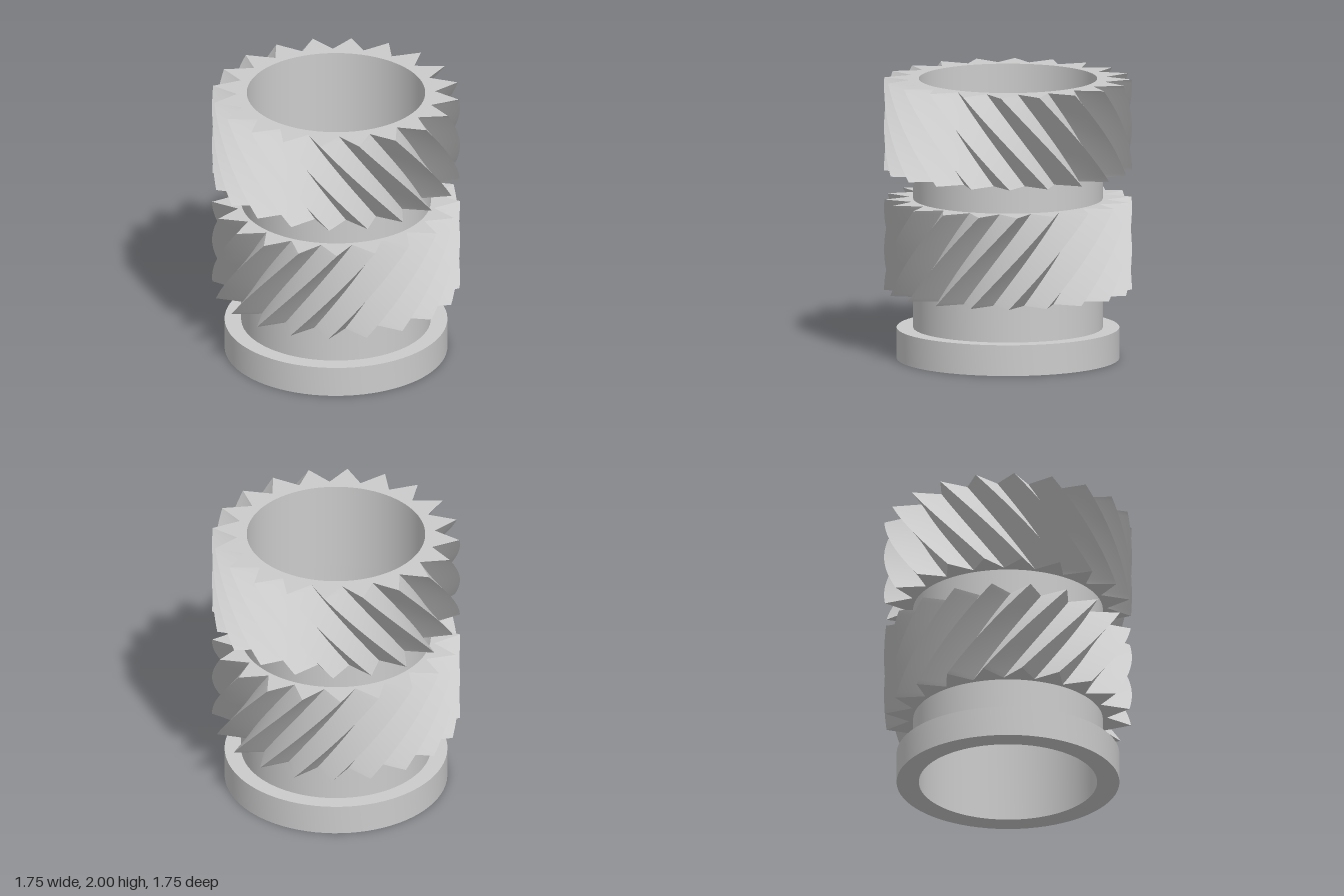
import * as THREE from 'three';
import { toCreasedNormals } from 'three/addons/utils/BufferGeometryUtils.js';

const TEETH = 20, TIP = 0.875, ROOT = 0.7, BORE = 0.63, CORE = 0.67;
const TWIST = THREE.MathUtils.degToRad(40);
const PHASE = THREE.MathUtils.degToRad(5.2);

// Ring of V-shaped teeth, twisted along its height; hand = +1 or -1
function knurl(y0, y1, hole, hand) {
  const shape = new THREE.Shape();
  for (let i = 0; i < TEETH * 2; i++) {
    const a = hand * PHASE + (i * Math.PI) / TEETH;
    const r = i % 2 ? ROOT : TIP;
    shape[i ? 'lineTo' : 'moveTo'](r * Math.sin(a), -r * Math.cos(a));
  }
  shape.closePath();
  const bore = new THREE.Path();
  bore.absarc(0, 0, hole, 0, Math.PI * 2, true);
  shape.holes.push(bore);

  const height = y1 - y0;
  const geo = new THREE.ExtrudeGeometry(shape, {
    depth: height, steps: 24, curveSegments: 80, bevelEnabled: false,
  });
  geo.rotateX(-Math.PI / 2);
  const pos = geo.attributes.position;
  const v = new THREE.Vector3(), up = new THREE.Vector3(0, 1, 0);
  for (let i = 0; i < pos.count; i++) {
    v.fromBufferAttribute(pos, i);
    v.applyAxisAngle(up, hand * TWIST * (1 - v.y / height));
    pos.setXYZ(i, v.x, v.y + y0, v.z);
  }
  return toCreasedNormals(geo, Math.PI / 6);
}

export function createModel() {
  const group = new THREE.Group();
  const material = new THREE.MeshStandardMaterial({ color: 0xcccccc });
  const add = (name, geometry) => {
    const mesh = new THREE.Mesh(geometry, material);
    mesh.name = name;
    group.add(mesh);
  };

  // Hollow sleeve with the wider pilot collar at its foot
  const profile = [
    [BORE, 1.345], [BORE, 0], [0.787, 0], [0.787, 0.22], [CORE, 0.22], [CORE, 1.345],
  ].map(([r, y]) => new THREE.Vector2(r, y));
  add('sleeve', toCreasedNormals(new THREE.LatheGeometry(profile, 80), Math.PI / 6));

  // Two toothed bands of opposite hand
  add('lowerKnurl', knurl(0.487, 1.143, 0.65, -1));
  add('upperKnurl', knurl(1.343, 2, BORE, 1));
  return group;
}
